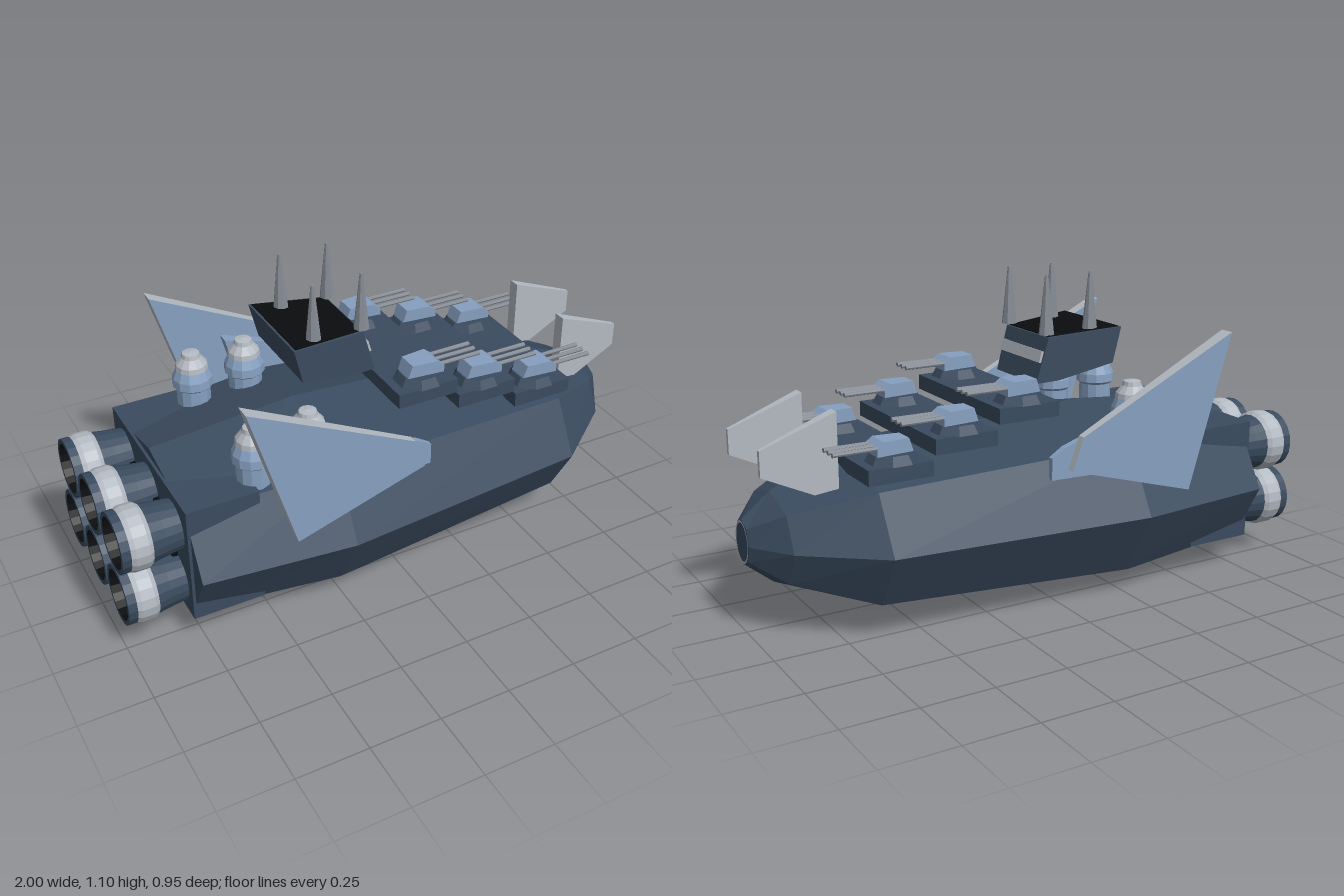
import * as THREE from 'three';

const mat = (name, color, side = THREE.FrontSide) => {
  const m = new THREE.MeshStandardMaterial({ color, flatShading: true, side });
  m.name = name;
  return m;
};

// Flat profile in x/y, extruded along z; half thickness runs from h0 (at x0) to h1 (at x1)
function plate(points, x0, h0, x1, h1) {
  const shape = new THREE.Shape(points.map(([x, y]) => new THREE.Vector2(x, y)));
  const geo = new THREE.ExtrudeGeometry(shape, { depth: 2, bevelEnabled: false });
  geo.translate(0, 0, -1);
  const p = geo.attributes.position;
  for (let i = 0; i < p.count; i++) {
    const t = (p.getX(i) - x0) / (x1 - x0);
    p.setZ(i, p.getZ(i) * (h0 + (h1 - h0) * t));
  }
  geo.computeVertexNormals();
  return geo;
}

// Octagonal hull lofted through stations [x, half width, half height]
function hullGeometry(stations, cy) {
  const ring = ([x, w, h]) => Array.from({ length: 8 }, (_, i) => {
    const a = i * Math.PI / 4, k = i % 2 ? 1.035 : 1;
    return [x, cy + Math.cos(a) * h * k, Math.sin(a) * w * k];
  });
  const rings = stations.map(ring), pos = [];
  const tri = (...c) => c.forEach((v) => pos.push(...v));
  const last = rings.length - 1;
  for (let i = 0; i < 8; i++) {
    const j = (i + 1) % 8;
    for (let s = 0; s < last; s++) {
      const a = rings[s], b = rings[s + 1];
      tri(a[i], a[j], b[i]);
      tri(a[j], b[j], b[i]);
    }
    tri([stations[0][0], cy, 0], rings[0][j], rings[0][i]);
    tri([stations[last][0], cy, 0], rings[last][i], rings[last][j]);
  }
  const geo = new THREE.BufferGeometry();
  geo.setAttribute('position', new THREE.Float32BufferAttribute(pos, 3));
  geo.computeVertexNormals();
  return geo;
}

export function createModel() {
  const navy = mat('navy armour', 0x3a4b5f);
  const blue = mat('light blue panel', 0x86a0c0);
  const grey = mat('pale grey metal', 0xb4bac2);
  const steel = mat('steel', 0x858b94);
  const black = mat('black', 0x0b0c0e, THREE.DoubleSide);

  const model = new THREE.Group();
  const add = (parent, name, geo, material, x = 0, y = 0, z = 0) => {
    const m = new THREE.Mesh(geo, material);
    m.name = name;
    m.position.set(x, y, z);
    parent.add(m);
    return m;
  };
  const group = (name, x = 0, y = 0, z = 0) => {
    const g = new THREE.Group();
    g.name = name;
    g.position.set(x, y, z);
    model.add(g);
    return g;
  };
  const box = (w, h, d) => new THREE.BoxGeometry(w, h, d);
  const lathe = (pts, n) => new THREE.LatheGeometry(pts.map(([r, y]) => new THREE.Vector2(r, y)), n);

  // Hull, stern block and nose ring
  add(model, 'hull', hullGeometry([
    [-0.78, 0.42, 0.265], [-0.26, 0.475, 0.31], [0.65, 0.395, 0.255],
    [0.9, 0.2, 0.155], [0.997, 0.06, 0.075],
  ], 0.31), navy);
  add(model, 'sternBlock', box(0.25, 0.43, 0.68), navy, -0.665, 0.325, 0);
  add(model, 'sternPlate', box(0.03, 0.24, 0.46), black, -0.795, 0.318, 0);
  const noseRing = add(model, 'noseRing', new THREE.RingGeometry(0.9, 1, 24), grey, 0.999, 0.31, 0);
  noseRing.rotation.y = Math.PI / 2;
  noseRing.scale.set(0.058, 0.072, 1);

  // Six engines in two rows of three
  const nozzle = lathe([[0.085, 0], [0.092, 0.06], [0.1, 0.11]], 20).rotateZ(Math.PI / 2);
  const band = lathe([[0.1, 0.105], [0.11, 0.12], [0.11, 0.165], [0.104, 0.18]], 20).rotateZ(Math.PI / 2);
  const rim = lathe([[0.104, 0.18], [0.104, 0.21], [0.088, 0.21]], 20).rotateZ(Math.PI / 2);
  const inside = lathe([[0.088, 0.21], [0.07, 0.06], [0, 0.06]], 20).rotateZ(Math.PI / 2);
  for (const y of [0.212, 0.424]) {
    for (const z of [-0.225, 0, 0.225]) {
      const e = group('engine', -0.79, y, z);
      add(e, 'nozzle', nozzle, navy);
      add(e, 'band', band, grey);
      add(e, 'rim', rim, navy);
      add(e, 'nozzleInside', inside, black);
    }
  }

  // Bridge tower with black roof, window strip and masts
  add(model, 'tower', plate([
    [-0.33, 0.905], [-0.06, 0.885], [-0.015, 0.73], [-0.1, 0.735], [-0.3, 0.78],
  ], -0.33, 0.178, -0.015, 0.133), navy);
  add(model, 'towerRoof', plate([
    [-0.322, 0.905], [-0.322, 0.908], [-0.066, 0.889], [-0.066, 0.886],
  ], -0.322, 0.17, -0.066, 0.128), black);
  const windowStrip = add(model, 'bridgeWindow', box(0.009, 0.04, 0.262), grey, -0.036, 0.82, 0);
  windowStrip.rotation.z = 0.28;
  const mast = new THREE.CylinderGeometry(0.006, 0.027, 0.2, 8);
  for (const x of [-0.235, -0.06]) {
    for (const z of [-0.123, 0.123]) add(model, 'mast', mast, steel, x, 0.995, z);
  }

  // Three stepped gun decks, each with a pair of triple turrets
  const turretBody = plate([
    [-0.06, 0], [-0.045, 0.045], [0.045, 0.045], [0.07, 0.025], [0.07, 0],
  ], -0.06, 0.035, 0.07, 0.048);
  const turretBase = new THREE.CylinderGeometry(0.07, 0.088, 0.03, 8).rotateY(Math.PI / 8);
  const barrel = new THREE.CylinderGeometry(0.007, 0.008, 0.18, 8).rotateZ(Math.PI / 2);
  [[0.105, 0.655], [0.338, 0.587], [0.571, 0.521]].forEach(([x, y]) => {
    add(model, 'gunDeck', box(0.225, 0.052, 0.58), navy, x, y + 0.026, 0);
    for (const s of [-1, 1]) {
      const t = group('turret', x, y + 0.052, s * 0.22);
      add(t, 'turretBase', turretBase, navy, 0, 0.015, 0);
      add(t, 'turretBody', turretBody, blue, 0, 0.03, 0);
      for (const z of [-0.034, 0, 0.034]) add(t, 'barrel', barrel, steel, 0.125, 0.055, z);
    }
  });

  // Mirrored side fins, bow fins and domes
  const mainFin = plate([
    [-0.61, 0.9], [-0.02, 0.61], [0.02, 0.5], [-0.45, 0.365],
  ], -0.61, 0.027, 0.02, 0.014);
  const innerFin = plate([
    [-0.36, 0.69], [0.02, 0.57], [0.07, 0.54], [0.07, 0.465], [-0.3, 0.46],
  ], -0.36, 0.022, 0.07, 0.01);
  const bowFin = plate([
    [0.73, 0.74], [0.98, 0.645], [0.98, 0.56], [0.81, 0.48], [0.73, 0.49],
  ], 0.73, 0.022, 0.98, 0.008);
  const domeBase = lathe([[0.06, 0.5], [0.06, 0.6], [0.072, 0.61], [0.07, 0.64], [0.052, 0.68]], 12);
  const domeCap = lathe([[0.058, 0.672], [0.055, 0.69], [0.034, 0.715], [0.03, 0.73], [0, 0.735]], 12);
  for (const s of [-1, 1]) {
    add(model, 'mainFin', mainFin, [blue, grey], 0, 0, s * 0.405);
    add(model, 'innerFin', innerFin, blue, 0, 0, s * 0.362);
    add(model, 'bowFin', bowFin, grey, 0, 0, s * 0.145);
    for (const x of [-0.52, -0.325]) {
      const d = group('dome', x, 0, s * 0.255);
      add(d, 'domeBase', domeBase, blue);
      add(d, 'domeCap', domeCap, grey);
    }
  }
  return model;
}
